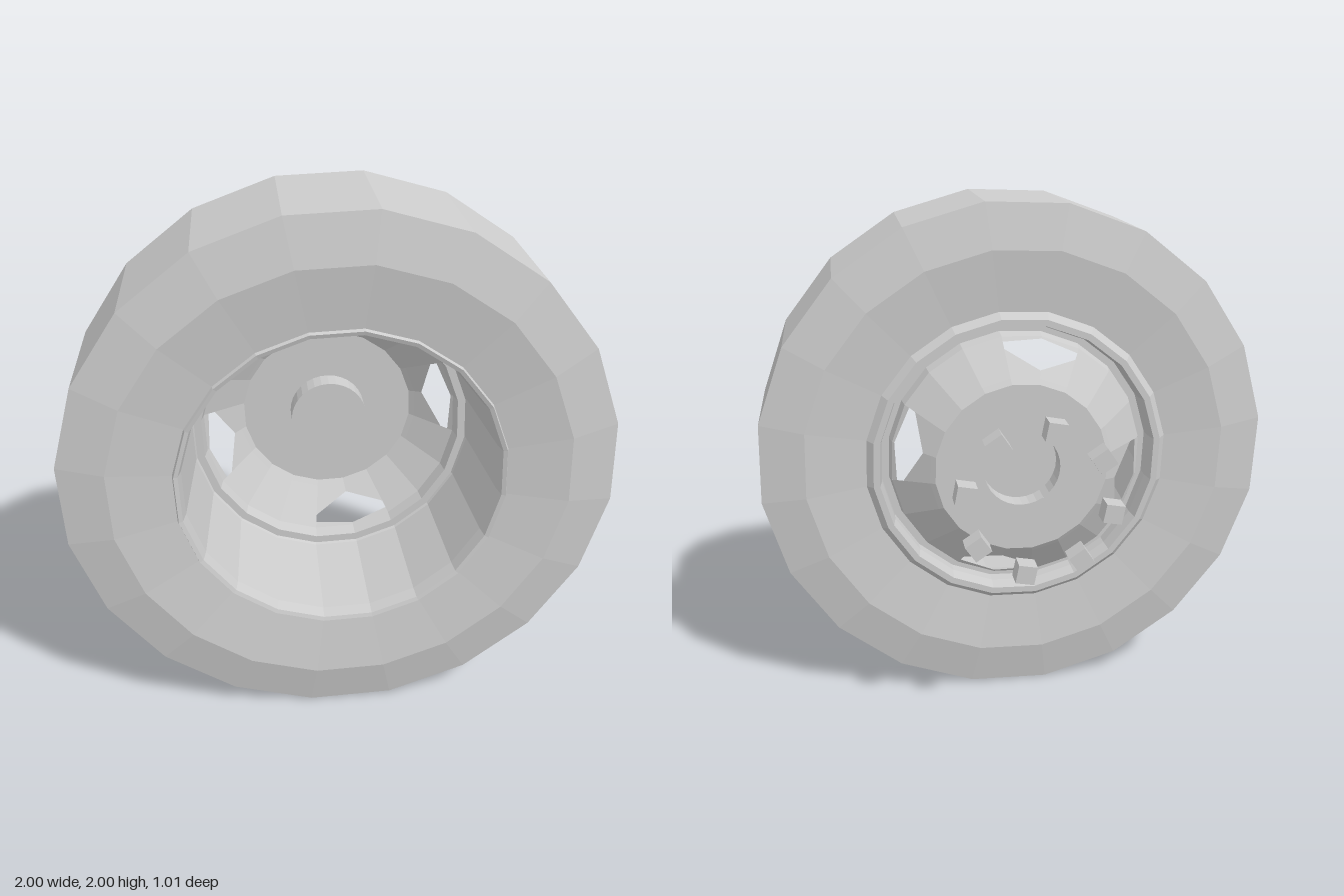
import * as THREE from 'three';

const SIDES = 20;
const TURN = THREE.MathUtils.degToRad(11.2); // angle of the first corner of every ring

export function createModel() {
  const grey = new THREE.MeshStandardMaterial({ color: 0xcccccc, side: THREE.DoubleSide });
  grey.name = 'plain grey';
  const model = new THREE.Group();
  model.name = 'wheel';
  const wheel = new THREE.Group();
  wheel.name = 'wheelAssembly';
  wheel.position.y = 1;
  model.add(wheel);

  const add = (name, geometry) => {
    const flat = geometry.index ? geometry.toNonIndexed() : geometry;
    flat.computeVertexNormals();
    const mesh = new THREE.Mesh(flat, grey);
    mesh.name = name;
    wheel.add(mesh);
    return mesh;
  };

  // Ring turned about the z axis from [radius, z] pairs
  const turned = (profile, sides = SIDES) => new THREE.LatheGeometry(
    profile.map(([r, z]) => new THREE.Vector2(r, z)), sides, TURN + Math.PI / 2
  ).rotateX(Math.PI / 2);

  // Tyre: flat tread, bevelled shoulders, sidewalls dipping toward the rim
  add('tyre', turned([
    [0.6, -0.025], [0.835, -0.05], [1.007, -0.015], [1.007, 0.47], [0.835, 0.505], [0.6, 0.475],
  ]));

  // Rim: front lip, tapered barrel and inner ledge
  add('rimBarrel', turned([
    [0.605, 0.475], [0.6, 0.49], [0.585, 0.485], [0.575, 0.44], [0.545, 0.06],
    [0.54, 0.05], [0.51, 0.05], [0.5, 0.0],
  ]));
  // Rim: back flange
  add('rimBackFlange', turned([
    [0.605, -0.02], [0.575, -0.055], [0.55, -0.055], [0.54, 0.0], [0.54, 0.05],
  ]));

  // Dished disc with four hexagonal openings, each two facets wide
  const depth = (r) => (r < 0.36 ? -0.125 + (r - 0.34) * 0.75 : -0.11 + (r - 0.36) * 0.786);
  const low = [0.387, 0.458, 0.45, 0.45, 0.458];
  const high = [0.492, 0.482, 0.485, 0.485, 0.482];
  const corner = (i, r) => {
    const a = TURN + (i * 2 * Math.PI) / SIDES;
    return [r * Math.cos(a), r * Math.sin(a), depth(r)];
  };
  const points = [];
  for (let i = 0; i < SIDES; i++) {
    const radii = [i, i + 1].map((k) => [0.34, 0.36, low[k % 5], high[k % 5], 0.5]);
    const open = i % 5 === 0 || i % 5 === 4;
    for (let b = 0; b < 4; b++) {
      if (open && b === 2) continue;
      const p = corner(i, radii[0][b]), q = corner(i, radii[0][b + 1]);
      const s = corner(i + 1, radii[1][b + 1]), t = corner(i + 1, radii[1][b]);
      points.push(...p, ...q, ...s, ...p, ...s, ...t);
    }
  }
  const dish = new THREE.BufferGeometry();
  dish.setAttribute('position', new THREE.Float32BufferAttribute(points, 3));
  add('wheelDisc', dish);

  // Flat hub plate with a round centre hole
  const plate = new THREE.Shape();
  for (let i = 0; i < SIDES; i++) {
    const [x, y] = corner(i, 0.34);
    if (i) plate.lineTo(x, y); else plate.moveTo(x, y);
  }
  plate.closePath();
  plate.holes.push(new THREE.Path().absarc(0, 0, 0.15, 0, Math.PI * 2, true));
  add('hubPlate', new THREE.ShapeGeometry(plate, 16).translate(0, 0, -0.125));

  // Centre cup pushed forward out of the hub
  add('centreCup', turned([[0.15, -0.125], [0.15, -0.045], [0, -0.045]], 32));

  // Eight loose square lug nuts in a ring behind the wheel
  for (let i = 0; i < 8; i++) {
    const a = TURN + (i * Math.PI) / 4;
    const nut = add('lugNut', new THREE.BoxGeometry(0.07, 0.07, 0.07));
    nut.position.set(0.272 * Math.cos(a), 0.272 * Math.sin(a), -0.47);
    nut.rotation.z = a;
  }
  return model;
}
